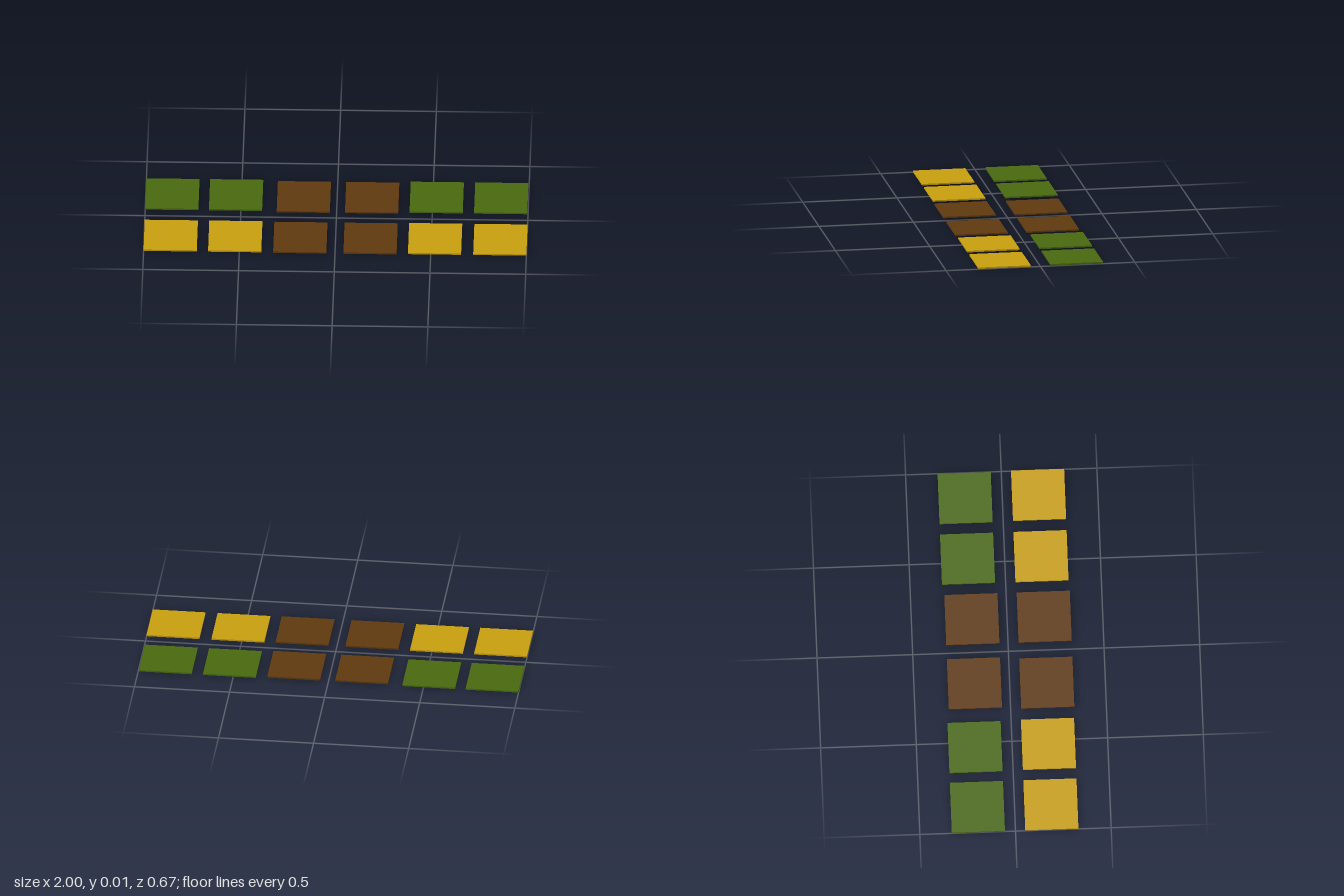
import * as THREE from 'three';

const SIZE = 0.278;   // tile width and depth
const TOP = 0.009;    // overall thickness
const STRIP = 0.001;  // thickness of the painted strip underneath

function paint(name, color) {
  const material = new THREE.MeshStandardMaterial({ color });
  material.name = name;
  return material;
}

export function createModel() {
  const yellow = paint('yellow', 0xc9a00f);
  const green = paint('green', 0x4a6b10);
  const brown = paint('brown', 0x603a0f);
  const darkGreen = paint('dark green', 0x263810);

  const tileGeometry = new THREE.BoxGeometry(SIZE, TOP - STRIP, SIZE);
  const stripGeometry = new THREE.BoxGeometry(0.05, STRIP, SIZE - 0.03);
  const model = new THREE.Group();
  model.name = 'tileSet';

  function addTile(name, x, z, color, stripColor) {
    const group = new THREE.Group();
    group.name = name;
    group.position.set(x, 0, z);

    const tile = new THREE.Mesh(tileGeometry, color);
    tile.name = 'tile';
    tile.position.y = (TOP + STRIP) / 2;

    // Thin painted strip on the underside, along the left edge
    const strip = new THREE.Mesh(stripGeometry, stripColor);
    strip.name = 'undersideStrip';
    strip.position.set(SIZE / 2 - 0.035, STRIP / 2, 0);

    group.add(tile, strip);
    model.add(group);
  }

  // Slightly uneven spacing, as if laid out by hand
  const backX = [-0.861, -0.528, -0.174, 0.183, 0.52, 0.857];
  const frontX = [-0.861, -0.524, -0.184, 0.183, 0.52, 0.861];

  for (let i = 0; i < 6; i++) {
    const middle = i === 2 || i === 3;
    if (middle) {
      addTile('backBrownTile' + i, backX[i], -0.184, brown, brown);
      addTile('frontBrownTile' + i, frontX[i], 0.194, brown, brown);
    } else {
      addTile('greenTile' + i, backX[i], -0.194, green, darkGreen);
      addTile('yellowTile' + i, frontX[i], 0.19, yellow, brown);
    }
  }
  return model;
}
